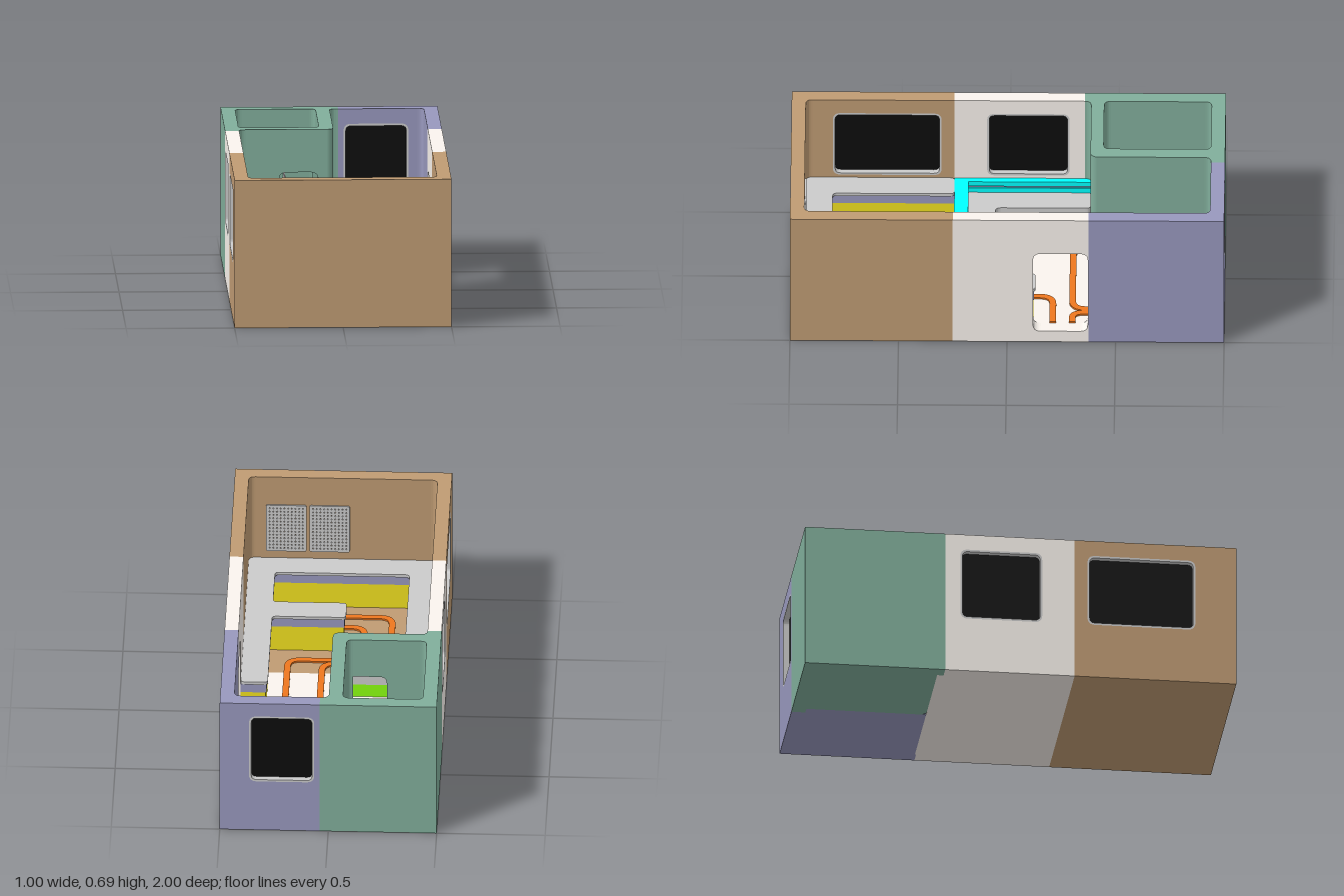
import * as THREE from 'three';

const H = 0.69, T = 0.065, FLOOR = 0.06, IN = 0.435;
const mats = {};
const mat = (c) => (mats[c] ??= new THREE.MeshStandardMaterial({ color: c }));
const GREY = 0xcccccc, BROWN = 0xbf9b73, LINEN = 0xfaf4ee, GREEN = 0x81ae9b, PURPLE = 0x9898bd;
const CYAN = 0x00ffff, LIME = 0x8cff12, YELLOW = 0xf0e020, ORANGE = 0xee771f, BLACK = 0x0d0d0d;

// Polygon with rounded corners
function rounded(pts, r = 0) {
  const s = new THREE.Shape(), v = pts.map(([x, y]) => new THREE.Vector2(x, y)), n = v.length;
  v.forEach((p, i) => {
    const toward = (q) => {
      const d = q.clone().sub(p);
      return p.clone().addScaledVector(d.normalize(), Math.min(r, p.distanceTo(q) / 2));
    };
    const a = toward(v[(i + n - 1) % n]), b = toward(v[(i + 1) % n]);
    if (i) s.lineTo(a.x, a.y); else s.moveTo(a.x, a.y);
    if (r) s.quadraticCurveTo(p.x, p.y, b.x, b.y);
  });
  s.closePath();
  return s;
}
const rect = (a, b, c, d, r) => rounded([[a, c], [b, c], [b, d], [a, d]], r);
const extrude = (shape, depth) => new THREE.ExtrudeGeometry(shape, { depth, bevelEnabled: false, curveSegments: 6 });

export function createModel() {
  const model = new THREE.Group();
  function add(name, geo, color) {
    const m = new THREE.Mesh(geo, mat(color));
    m.name = name;
    model.add(m);
    return m;
  }
  const box = (name, color, x0, x1, y0, y1, z0, z1) =>
    add(name, new THREE.BoxGeometry(x1 - x0, y1 - y0, z1 - z0), color)
      .position.set((x0 + x1) / 2, (y0 + y1) / 2, (z0 + z1) / 2);

  // Plan outline [x, z] extruded upward
  function plan(name, color, pts, y0, y1, r = 0) {
    const g = extrude(rounded(pts.map(([x, z]) => [x, -z]), r), y1 - y0);
    return add(name, g.rotateX(-Math.PI / 2).translate(0, y0, 0), color);
  }
  const planBox = (name, color, x0, x1, z0, z1, y0, y1, r) =>
    plan(name, color, [[x0, z0], [x1, z0], [x1, z1], [x0, z1]], y0, y1, r);

  // Elevation shape extruded through a wall that runs along x or z
  function upright(name, color, along, shape, pos, depth) {
    const g = extrude(shape, depth);
    if (along === 'z') g.rotateY(Math.PI / 2).translate(pos, 0, 0);
    else g.translate(0, 0, pos);
    return add(name, g, color);
  }
  // Wall with optional opening { a, b, y0, y1, glass }
  function wall(name, color, along, pos, thick, a, b, hole) {
    const span = (p, q, y0, y1, r) => along === 'z' ? rect(-q, -p, y0, y1, r) : rect(p, q, y0, y1, r);
    const s = span(a, b, 0, H);
    if (hole) {
      const open = (e) => span(hole.a + e, hole.b - e, hole.y0 + e, hole.y1 - e, 0.035 - e);
      s.holes.push(open(0));
      if (hole.glass) {
        const frame = open(0);
        frame.holes.push(open(0.01));
        upright('windowFrame', GREY, along, frame, pos, thick);
        upright('windowPane', BLACK, along, open(0.008), pos + thick / 2 - 0.005, 0.01);
      }
    }
    upright(name, color, along, s, pos, thick);
  }

  // Outer walls
  wall('kitchenFrontWall', BROWN, 'x', IN, 0, 0, 0.001);
  model.remove(model.children.pop());
  wall('kitchenFrontWall', BROWN, 'x', 1 - T, T, -IN, IN);
  wall('kitchenRightWall', BROWN, 'z', -0.5, T, 0.25, 1, { a: 0.31, b: 0.81, y0: 0.265, y1: 0.615, glass: true });
  wall('kitchenLeftWall', BROWN, 'z', IN, T, 0.25, 1);
  wall('loungeRightWall', LINEN, 'z', -0.5, T, -0.35, 0.25, { a: -0.28, b: 0.1, y0: 0.265, y1: 0.615, glass: true });
  wall('entranceWall', LINEN, 'z', IN, T, -0.375, 0.25, { a: -0.372, b: -0.12, y0: FLOOR, y1: 0.5 });
  wall('bathroomRightWall', GREEN, 'z', -0.5, T, -1, -0.35);
  wall('bathroomBackWall', GREEN, 'x', -1, T, -IN, 0.04);
  wall('bedroomBackWall', PURPLE, 'x', -1, T, 0.04, IN, { a: 0.065, b: 0.365, y0: 0.265, y1: 0.62, glass: true });
  wall('bedroomLeftWall', PURPLE, 'z', IN, T, -1, -0.375);

  // Bathroom partitions with a rounded outer corner
  wall('bathroomSidePartition', GREEN, 'z', -0.065, 0.065, -0.935, -0.41);
  wall('bathroomDoorPartition', GREEN, 'x', -0.44, 0.06, -IN, -0.03, { a: -0.25, b: -0.07, y0: FLOOR, y1: 0.49 });
  add('partitionCorner', new THREE.CylinderGeometry(0.03, 0.03, H, 24), GREEN).position.set(-0.03, H / 2, -0.41);

  // Concave fillets in the room corners
  for (const [x, z, sx, sz, c] of [
    [-IN, 0.935, 1, -1, BROWN], [IN, 0.935, -1, -1, BROWN], [IN, -0.935, -1, 1, PURPLE], [0, -0.935, 1, 1, GREEN],
    [-IN, -0.935, 1, 1, GREEN], [-0.065, -0.935, -1, 1, GREEN], [-0.065, -0.44, -1, -1, GREEN],
    [-IN, -0.44, 1, -1, GREEN], [-IN, -0.38, 1, 1, GREEN]]) {
    const s = new THREE.Shape(), r = 0.03;
    s.moveTo(x, -z).lineTo(x + sx * r, -z).quadraticCurveTo(x, -z, x, -z - sz * r).closePath();
    add('cornerFillet', extrude(s, H - FLOOR).rotateX(-Math.PI / 2).translate(0, FLOOR, 0), c);
  }

  // Floors
  box('kitchenFloor', BROWN, -IN, IN, 0, FLOOR, 0.25, 0.935);
  box('loungeFloor', LINEN, -IN, IN, 0, FLOOR, -0.38, 0.25);
  box('bathroomFloor', GREEN, -IN, -0.065, 0, FLOOR, -0.935, -0.38);
  box('bedroomFloor', PURPLE, 0, IN, 0, FLOOR, -0.935, -0.38);

  // Floor guide strips that follow rounded routes
  function strip(route, w = 0.015, r = 0.06) {
    const p = route.map(([x, z]) => new THREE.Vector2(x, -z)), path = [p[0]];
    for (let i = 1; i < p.length - 1; i++) {
      const cut = (q) => p[i].clone().lerp(q, Math.min(r / p[i].distanceTo(q), 0.5));
      path.push(...new THREE.QuadraticBezierCurve(cut(p[i - 1]), p[i], cut(p[i + 1])).getPoints(8));
    }
    path.push(p[p.length - 1]);
    const sides = [1, -1].map((s) => path.map((q, i) => {
      const t = path[Math.min(i + 1, path.length - 1)].clone().sub(path[Math.max(i - 1, 0)]).normalize();
      return new THREE.Vector2(q.x - s * w * t.y, q.y + s * w * t.x);
    }));
    const shape = new THREE.Shape([...sides[0], ...sides[1].reverse()]);
    add('floorStrip', extrude(shape, 0.008).rotateX(-Math.PI / 2).translate(0, FLOOR, 0), ORANGE);
  }
  strip([[-0.27, -0.935], [-0.27, -0.675], [-0.065, -0.675]]);
  strip([[-IN, -0.68], [-0.295, -0.68], [-0.295, -0.485], [-0.205, -0.485], [-0.205, -0.015], [0.075, -0.015],
    [0.075, 0.325], [-0.235, 0.325], [-0.235, 0.73], [0.235, 0.73], [0.235, 0.64], [-0.11, 0.64],
    [-0.11, 0.355], [0.235, 0.355], [0.235, -0.21], [IN, -0.21]]);
  strip([[-0.14, -0.675], [-0.14, -0.3], [0.33, -0.3], [0.33, -0.82]]);
  strip([[0.36, -0.82], [0.36, -0.3], [IN, -0.3]]);

  // Corner sofa: base, cushion and two-tier back
  const seat = [[-0.41, -0.38], [-0.285, -0.38], [-0.285, 0.06], [0, 0.06], [0, 0.19], [-0.41, 0.19]];
  plan('sofaBase', LIME, seat, FLOOR, 0.125, 0.025);
  plan('sofaCushion', GREY, seat, 0.125, 0.19, 0.025);
  const back = (e) => [[-IN, -0.38], [-0.405 - e, -0.38], [-0.405 - e, 0.185 + e], [0, 0.185 + e], [0, 0.25], [-IN, 0.25]];
  plan('sofaBackLower', CYAN, back(0), FLOOR, 0.215);
  plan('sofaBackGroove', PURPLE, back(0.006), 0.215, 0.225);
  plan('sofaBackUpper', CYAN, back(0), 0.225, 0.25);

  // Kitchen cupboards, drawer band and worktop around a peninsula
  const counter = (e) => [[-IN, 0.25], [-0.31 - e, 0.25], [-0.31 - e, 0.81 + e], [0.31 + e, 0.81 + e],
    [0.31 + e, 0.56 - e], [-0.03 + e, 0.56 - e], [-0.03 + e, 0.435 + e], [0.31 + e, 0.435 + e],
    [0.31 + e, -0.13 + e], [IN, -0.13 + e], [IN, 0.935], [-IN, 0.935]];
  plan('kitchenCupboards', YELLOW, counter(0.01), FLOOR, 0.19);
  plan('kitchenDrawers', PURPLE, counter(0.006), 0.19, 0.235);
  plan('kitchenWorktop', GREY, counter(0), 0.235, 0.25, 0.02);

  // Perforated wall panels above the worktop
  for (const x0 of [-0.03, 0.17]) {
    const s = rect(x0, x0 + 0.185, 0.29, 0.54, 0.008);
    for (let i = 0; i < 10; i++) for (let j = 0; j < 13; j++) {
      const x = x0 + 0.016 + i * 0.017, y = 0.307 + j * 0.018;
      s.holes.push(rounded([[x - 0.004, y], [x, y - 0.004], [x + 0.004, y], [x, y + 0.004]]));
    }
    upright('perforatedPanel', GREY, 'x', s, 0.928, 0.007);
  }

  // Bed with headboard shelf and a narrow side shelf
  const bed = [[0.003, -0.935], [0.4, -0.935], [0.4, -0.82], [0.245, -0.82], [0.245, -0.475], [0.003, -0.475]];
  plan('bedBase', PURPLE, bed, FLOOR, 0.14, 0.02);
  plan('bedMattress', GREY, bed, 0.14, 0.2, 0.025);
  box('headboardShelf', GREY, 0.003, IN, 0.2, 0.23, -0.935, -0.91);
  box('sideShelf', GREY, 0.405, IN, FLOOR, 0.2, -0.935, -0.45);

  // Toilet
  planBox('toiletCistern', GREY, -0.37, -0.29, -0.935, -0.91, FLOOR, 0.21, 0.008);
  const bowl = add('toiletBowl', new THREE.CylinderGeometry(0.037, 0.024, 0.09, 28), GREY);
  bowl.scale.z = 1.4;
  bowl.position.set(-0.33, 0.105, -0.875);

  // Shower screen, towel rail, washbasin and tap
  box('showerScreen', GREY, -0.213, -0.207, FLOOR, 0.4, -0.935, -0.81);
  box('towelRail', GREY, -IN, -0.425, 0.3, 0.312, -0.88, -0.69);
  const rim = rect(-0.165, -0.065, 0.765, 0.865, 0.012);
  rim.holes.push(rect(-0.152, -0.09, 0.78, 0.85, 0.012));
  add('washbasinRim', extrude(rim, 0.03).rotateX(-Math.PI / 2).translate(0, 0.21, 0), GREY);
  planBox('washbasinBody', GREY, -0.16, -0.065, -0.86, -0.77, FLOOR, 0.215, 0.012);
  const tap = new THREE.CatmullRomCurve3([[-0.075, 0.24], [-0.075, 0.27], [-0.09, 0.28], [-0.125, 0.27]]
    .map(([x, y]) => new THREE.Vector3(x, y, -0.81)));
  add('tap', new THREE.TubeGeometry(tap, 16, 0.005, 10), GREY);

  // Bench cabinet by the bathroom wall
  planBox('bathCabinet', GREY, -IN, -0.335, -0.66, -0.47, FLOOR, 0.17, 0.025);
  box('bathCabinetBack', GREY, -IN, -0.4, 0.17, 0.25, -0.66, -0.47);
  box('bathCabinetLid', GREEN, -0.385, -0.35, 0.17, 0.175, -0.63, -0.5);

  return model;
}
